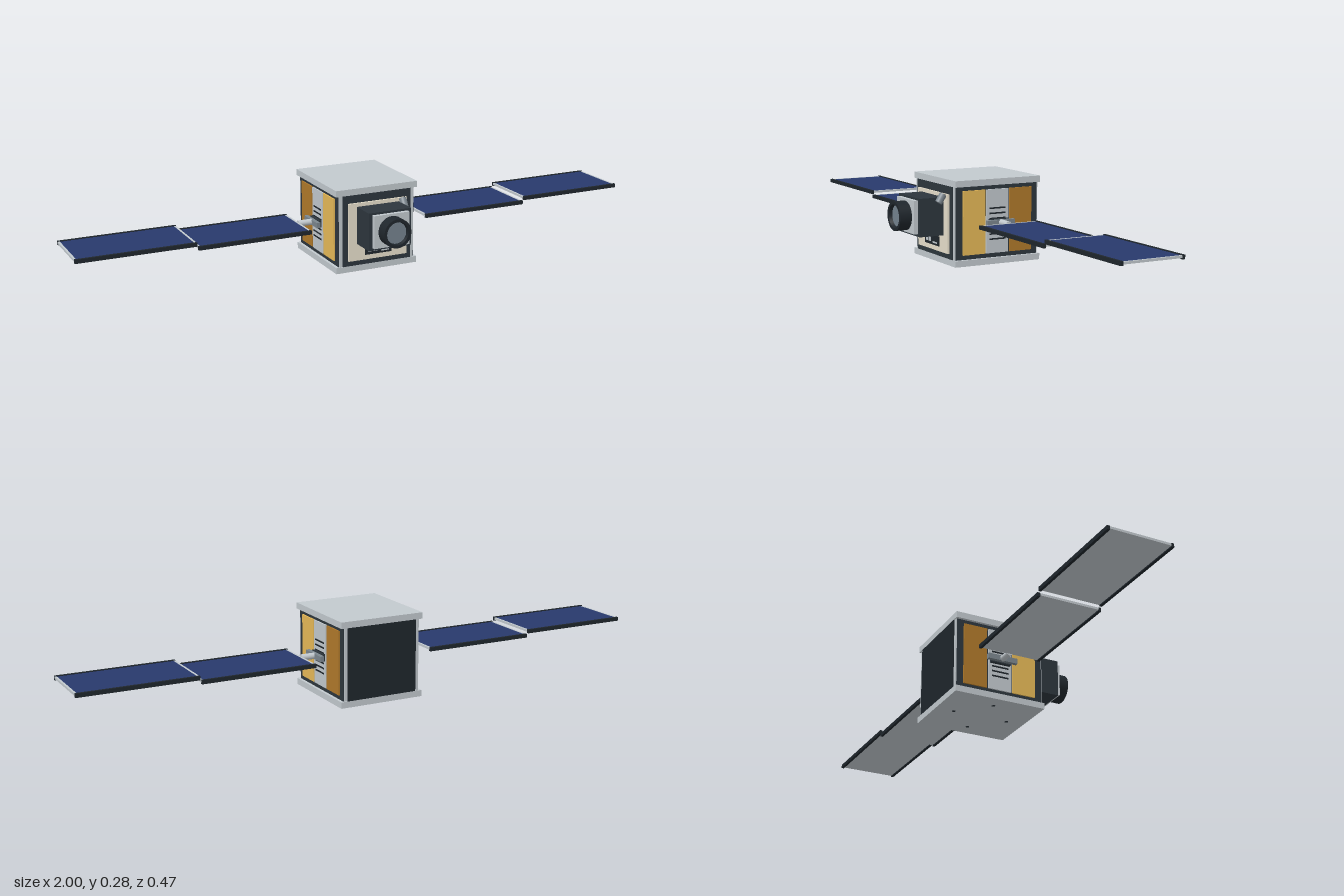
import * as THREE from 'three';

const mat = (name, color) => {
  const m = new THREE.MeshStandardMaterial({ color });
  m.name = name;
  return m;
};

export function createModel() {
  const M = {
    grey: mat('aluminium', 0xc2c9ce),
    steel: mat('steel', 0x7b868e),
    dark: mat('dark casing', 0x2d363d),
    black: mat('black trim', 0x1f262c),
    gold: mat('gold foil', 0xe6b957),
    bronze: mat('bronze foil', 0xb0792a),
    blue: mat('solar blue', 0x28396c),
    cream: mat('cream panel', 0xebe3cf),
    glass: mat('lens glass', 0x74828e),
  };
  const root = new THREE.Group();
  root.name = 'satellite';

  // Box given by its minimum and maximum corners
  const box = (parent, name, m, x0, x1, y0, y1, z0, z1) => {
    const b = new THREE.Mesh(new THREE.BoxGeometry(x1 - x0, y1 - y0, z1 - z0), m);
    b.position.set((x0 + x1) / 2, (y0 + y1) / 2, (z0 + z1) / 2);
    b.name = name;
    parent.add(b);
  };
  // Cylinder centred at a point, along the given axis
  const cyl = (parent, name, m, r, len, pos, axis) => {
    const c = new THREE.Mesh(new THREE.CylinderGeometry(r, r, len, 32), m);
    c.quaternion.setFromUnitVectors(new THREE.Vector3(0, 1, 0), new THREE.Vector3(...axis).normalize());
    c.position.set(...pos);
    c.name = name;
    parent.add(c);
  };

  // Bus: frame, end plates and inset face panels
  const bus = new THREE.Group();
  bus.name = 'bus';
  root.add(bus);
  box(bus, 'frame', M.grey, -0.137, 0.137, 0.02, 0.266, -0.231, 0.083);
  box(bus, 'topPlate', M.grey, -0.149, 0.149, 0.264, 0.285, -0.234, 0.086);
  box(bus, 'bottomPlate', M.grey, -0.149, 0.149, 0.001, 0.022, -0.234, 0.086);
  box(bus, 'frontFace', M.dark, -0.125, 0.125, 0.022, 0.264, 0.08, 0.086);
  box(bus, 'backFace', M.black, -0.125, 0.125, 0.022, 0.264, -0.234, -0.228);
  // Four bottom bolts on a circle
  for (let i = 0; i < 4; i++) {
    const a = (i * Math.PI) / 2;
    cyl(bus, 'bottomBolt', M.dark, 0.006, 0.003, [0.097 * Math.cos(a), 0.0015, -0.074 + 0.097 * Math.sin(a)], [0, 1, 0]);
  }

  // Front instrument panel with connector plate
  box(bus, 'frontPanel', M.cream, -0.107, 0.107, 0.04, 0.237, 0.084, 0.093);
  box(bus, 'connectorPlate', M.black, -0.048, 0.048, 0.057, 0.09, 0.092, 0.097);
  for (const x of [-0.032, -0.012])
    box(bus, 'connector', M.grey, x - 0.007, x + 0.007, 0.067, 0.081, 0.096, 0.0985);
  box(bus, 'connectorBar', M.grey, 0.01, 0.038, 0.064, 0.069, 0.096, 0.0985);

  // Camera: housing, flange, barrel (open front) and glass
  const cam = new THREE.Group();
  cam.name = 'camera';
  root.add(cam);
  const cy = 0.162;
  box(cam, 'cameraHousing', M.dark, -0.077, 0.077, 0.098, 0.225, 0.09, 0.18);
  box(cam, 'cameraFlange', M.grey, -0.064, 0.064, 0.107, 0.218, 0.178, 0.194);
  // Each straight run of the profile is its own lathe, so edges stay sharp
  const profile = [[0.049, 0.19], [0.049, 0.236], [0.039, 0.236], [0.036, 0.222]].map(p => new THREE.Vector2(...p));
  for (let i = 0; i < profile.length - 1; i++) {
    const ring = new THREE.Mesh(new THREE.LatheGeometry(profile.slice(i, i + 2), 40), M.black);
    ring.name = 'lensBarrel';
    ring.rotation.x = Math.PI / 2;
    ring.position.y = cy;
    cam.add(ring);
  }
  cyl(cam, 'lensGlass', M.glass, 0.037, 0.03, [0, cy, 0.209], [0, 0, 1]);

  // Small tilted star sensor beside the camera
  cyl(cam, 'starSensor', M.steel, 0.0125, 0.032, [0.088, 0.223, 0.108], [0, 0.8, -0.5]);
  cyl(cam, 'sensorGlass', M.black, 0.0095, 0.002, [0.088, 0.2366, 0.0995], [0, 0.8, -0.5]);

  // Foil panels, louvres and wing on each side (s = +1 left, -1 right)
  for (const s of [1, -1]) {
    const side = new THREE.Group();
    side.name = s > 0 ? 'leftSide' : 'rightSide';
    root.add(side);
    const sb = (name, m, x0, x1, ...r) => box(side, name, m, Math.min(s * x0, s * x1), Math.max(s * x0, s * x1), ...r);

    sb('sideFace', M.dark, 0.13, 0.139, 0.022, 0.264, -0.227, 0.08);
    sb('goldPanel', M.gold, 0.137, 0.144, 0.037, 0.25, -0.028, 0.055);
    sb('greyPanel', M.grey, 0.137, 0.144, 0.037, 0.25, -0.115, -0.032);
    sb('bronzePanel', M.bronze, 0.137, 0.144, 0.037, 0.25, -0.204, -0.121);
    for (let i = 0; i < 7; i++) {
      const y = 0.084 + i * 0.0172;
      sb('louvre', M.black, 0.143, 0.1455, y - 0.0025, y + 0.0025, -0.104, -0.043);
    }

    // Wing root bracket and drive arm
    sb('wingBracket', M.dark, 0.143, 0.156, 0.128, 0.152, -0.11, -0.04);
    sb('wingBracketPlate', M.steel, 0.156, 0.169, 0.132, 0.15, -0.127, -0.023);
    cyl(side, 'wingArm', M.grey, 0.0105, 0.05, [s * 0.19, 0.141, -0.075], [1, 0, 0]);

    // Two solar panels: cells above, backing below, black edge rails
    for (const [x0, x1, y] of [[0.213, 0.603, 0.14], [0.608, 1, 0.154]]) {
      sb('panelBacking', M.grey, x0 + 0.004, x1 - 0.004, y - 0.003, y + 0.001, -0.18, 0.03);
      sb('solarCells', M.blue, x0 + 0.006, x1 - 0.006, y + 0.001, y + 0.004, -0.179, 0.029);
      for (const z of [-0.184, 0.025])
        sb('edgeRail', M.black, x0, x1, y - 0.007, y + 0.006, z, z + 0.009);
      for (const x of [x0, x1 - 0.007])
        sb('endBar', M.grey, x, x + 0.007, y - 0.003, y + 0.0045, -0.176, 0.026);
    }
  }
  return root;
}
